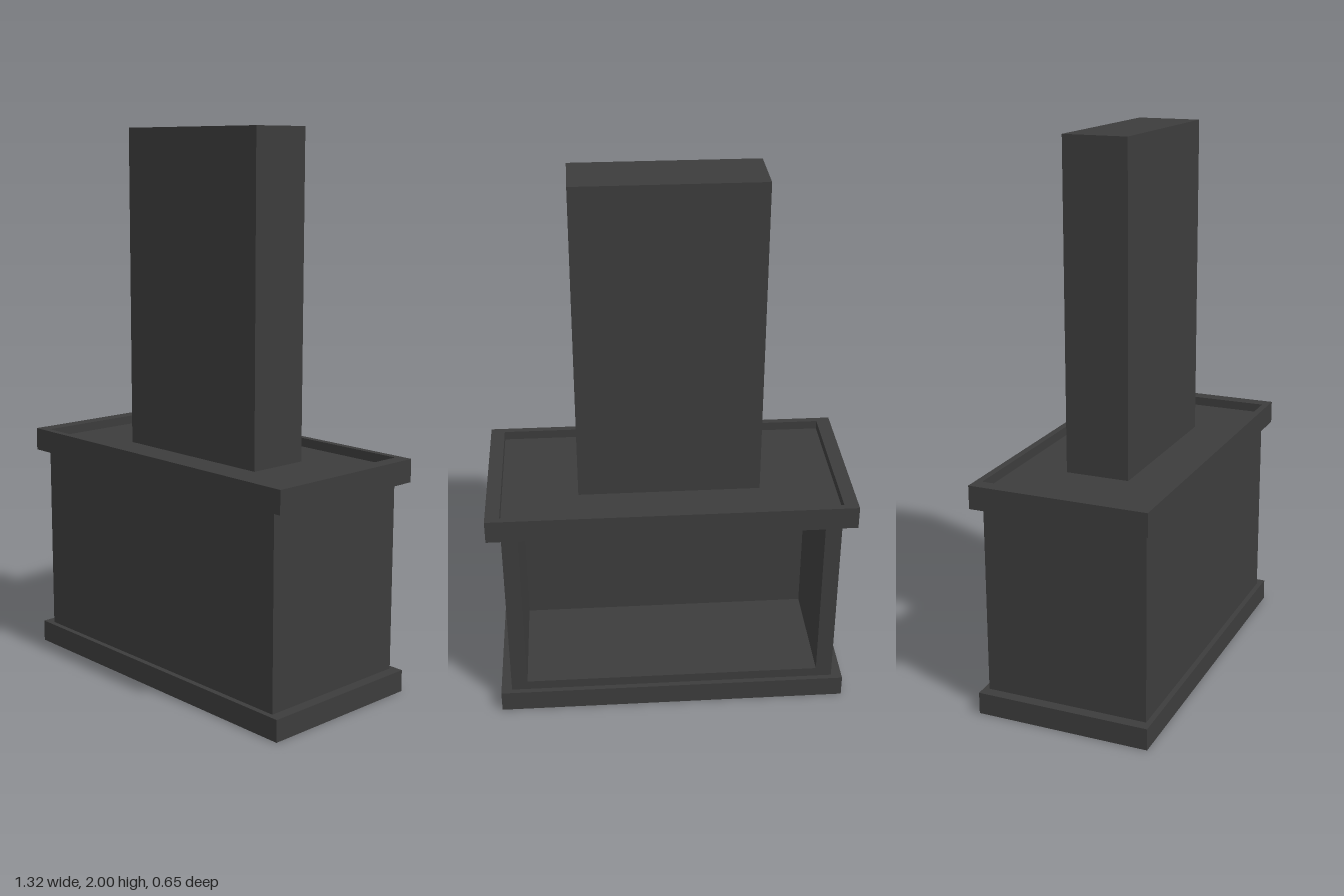
import * as THREE from 'three';

const charcoal = new THREE.MeshStandardMaterial({ color: 0x3c3c3c });
charcoal.name = 'charcoal';

// Box given by its minimum and maximum corners
function block(name, [x0, y0, z0], [x1, y1, z1]) {
  const mesh = new THREE.Mesh(new THREE.BoxGeometry(x1 - x0, y1 - y0, z1 - z0), charcoal);
  mesh.position.set((x0 + x1) / 2, (y0 + y1) / 2, (z0 + z1) / 2);
  mesh.name = name;
  return mesh;
}

// Horizontal slab with a rectangular hole, from y0 to y1
function holedSlab(name, outer, inner, y0, y1) {
  const corners = ([x0, z0, x1, z1]) =>
    [[x0, -z0], [x0, -z1], [x1, -z1], [x1, -z0]].map(([x, y]) => new THREE.Vector2(x, y));
  const shape = new THREE.Shape(corners(outer));
  shape.holes.push(new THREE.Path(corners(inner)));
  const geo = new THREE.ExtrudeGeometry(shape, { depth: y1 - y0, bevelEnabled: false });
  geo.rotateX(-Math.PI / 2).translate(0, y0, 0);
  const mesh = new THREE.Mesh(geo, charcoal);
  mesh.name = name;
  return mesh;
}

export function createModel() {
  const model = new THREE.Group();
  model.name = 'cabinetWithChimney';

  const W = 0.61, D = 0.3;              // cabinet half width and half depth
  const inW = 0.55, inFront = 0.135;    // cavity half width and its front wall
  const base = 0.08, floor = 0.116, ceiling = 0.758, top = 0.828;

  // Plinth
  model.add(block('plinth', [-0.65, 0, -0.32], [0.65, base, 0.32]));

  // Cabinet, open at the back
  const cabinet = new THREE.Group();
  cabinet.name = 'cabinet';
  cabinet.add(block('cabinetFront', [-W, base, inFront], [W, top, D]));
  cabinet.add(block('cabinetFloor', [-inW, base, -D], [inW, floor, inFront]));
  for (const [side, a, b] of [['Left', inW, W], ['Right', -W, -inW]]) {
    cabinet.add(block('cabinetSide' + side, [a, base, -D], [b, top, inFront]));
  }
  // Ceiling with a shallow sunken panel on its underside
  const recess = ceiling + 0.014;
  cabinet.add(holedSlab('ceiling', [-inW, -D, inW, inFront], [-0.3, -0.175, 0.3, 0.008], ceiling, recess));
  cabinet.add(block('cabinetTop', [-inW, recess, -D], [inW, top, inFront]));
  model.add(cabinet);

  // Raised rim around the top
  model.add(holedSlab('topRim', [-0.662, -0.325, 0.662, 0.325], [-W, -D, W, D], 0.777, 0.861));

  // Chimney
  model.add(block('chimney', [-0.332, top, -0.117], [0.332, 2, 0.117]));

  return model;
}
